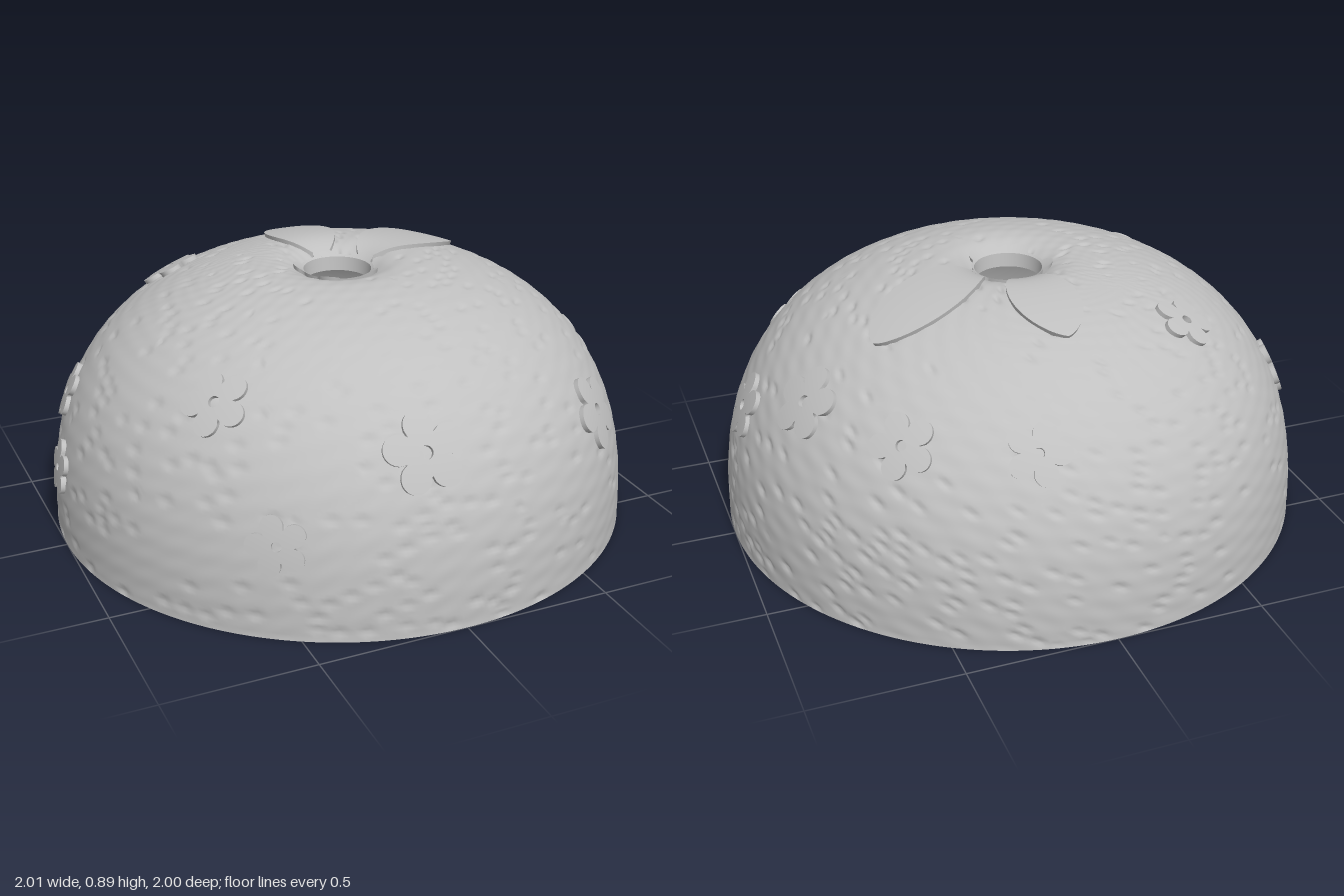
import * as THREE from 'three';

const H = 0.893, P = 2.5, HOLE = 0.128;
const grey = new THREE.MeshStandardMaterial({ color: 0xc0c0c0 });
grey.name = 'plain grey';

// Push a point onto the squarish dome, lifted by h, with a dimple round the top hole
function onDome(p, h = 0) {
  const k = (Math.hypot(p.x, p.z) ** P + (Math.abs(p.y) / H) ** P) ** (-1 / P) * (1 + h);
  const q = p.clone().multiplyScalar(k);
  q.y -= 0.12 * Math.exp(-(q.x * q.x + q.z * q.z) / 0.0169) * (q.y > 0.5 ? 1 : 0);
  return q;
}

// Closed band of quads: rows run outward, columns run round and wrap
function band(name, rows, cols, point) {
  const pos = [], idx = [];
  for (let i = 0; i <= rows; i++)
    for (let j = 0; j < cols; j++) pos.push(...point(i / rows, (j / cols) * Math.PI * 2).toArray());
  for (let i = 0; i < rows; i++)
    for (let j = 0; j < cols; j++) {
      const a = i * cols + j, b = i * cols + (j + 1) % cols;
      idx.push(a, a + cols, b + cols, a, b + cols, b);
    }
  const g = new THREE.BufferGeometry();
  g.setAttribute('position', new THREE.Float32BufferAttribute(pos, 3));
  g.setIndex(idx);
  g.computeVertexNormals();
  const m = new THREE.Mesh(g, grey);
  m.name = name;
  return m;
}

// Raised plate that follows the dome; outline(t) is in the local frame of its centre
function plate(name, centre, up, outline, inner, h, rows, cols) {
  const group = new THREE.Group();
  group.name = name;
  const c = onDome(centre), r = Math.hypot(centre.x, centre.z);
  const base = centre.clone().multiplyScalar((r ** P + (centre.y / H) ** P) ** (-1 / P));
  const rr = Math.hypot(c.x, c.z) || 1;
  const n = new THREE.Vector3(c.x * rr ** (P - 2), base.y ** (P - 1) / H ** P, c.z * rr ** (P - 2)).normalize();
  const b = up.clone().addScaledVector(n, -up.dot(n)).normalize();
  const a = new THREE.Vector3().crossVectors(b, n);
  const at = (s, t, lift) => {
    const [u, v] = outline(t), len = Math.hypot(u, v);
    const f = (inner + (len - inner) * s) / len;
    return onDome(base.clone().addScaledVector(a, u * f).addScaledVector(b, v * f), lift);
  };
  group.add(band(name + 'Face', rows, cols, (s, t) => at(s, t, h)));
  group.add(band(name + 'Edge', 1, cols, (s, t) => at(1, t, s < 0.5 ? h : -0.015)));
  if (inner > 0) group.add(band(name + 'InnerEdge', 1, cols, (s, t) => at(0, t, s < 0.5 ? -0.015 : h)));
  return group;
}

const hash = (i, j) => {
  const v = Math.sin(i * 127.1 + j * 311.7) * 43758.5453;
  return v - Math.floor(v);
};

// Peel texture: faint ripples and scattered short dents in rings round a tilted axis
const axis = new THREE.Vector3(-0.3, 0.92, -0.25).normalize();
const side = new THREE.Vector3(1, 0, 0).addScaledVector(axis, -axis.x).normalize();
const third = new THREE.Vector3().crossVectors(axis, side);
function peel(p) {
  const d = p.clone().normalize();
  const lat = Math.acos(THREE.MathUtils.clamp(d.dot(axis), -1, 1));
  const lon = Math.atan2(d.dot(third), d.dot(side)) + Math.PI;
  const row = lat / 0.034, ri = Math.floor(row);
  const col = lon * Math.max(0.05, Math.sin((ri + 0.5) * 0.034)) / 0.075 + hash(ri, 7);
  const ci = Math.floor(col);
  const ripple = 0.0011 * (Math.sin(lat * 90 + 2 * Math.sin(lon * 5)) * Math.sin(lon * 23 + lat * 11) - 1);
  const patchy = 0.8 + 0.12 * Math.sin(lon * 3 + lat * 4);
  if (hash(ri, ci) < patchy) return ripple;
  return ripple - 0.008 * Math.sin((row - ri) * Math.PI) ** 2 * Math.sin((col - ci) * Math.PI) ** 2;
}

export function createModel() {
  const model = new THREE.Group();
  model.name = 'fruitDome';

  // Hollow shell: textured outside, smooth inside, base rim and hole wall
  const shell = new THREE.Group();
  shell.name = 'shell';
  const ray = (s, t) => {
    const f = HOLE + (Math.PI / 2 - HOLE) * s;
    return new THREE.Vector3(Math.sin(f) * Math.sin(t), s === 1 ? 0 : Math.cos(f), Math.sin(f) * Math.cos(t));
  };
  const inside = -0.036;
  shell.add(
    band('outerPeel', 130, 400, (s, t) => {
      const p = ray(s, t);
      return onDome(p, s === 0 || s === 1 ? 0 : peel(onDome(p)));
    }),
    band('baseRim', 1, 120, (s, t) => onDome(ray(1, t), s * inside)),
    band('innerWall', 28, 120, (s, t) => onDome(ray(1 - s, t), inside)),
    band('holeWall', 1, 120, (s, t) => onDome(ray(0, t), (1 - s) * inside)),
  );
  model.add(shell);

  // Five-petalled blossoms: x, y, z, radius, spin
  const blossoms = [
    [-0.46, 0.78, -0.45, 0.105, 0.2], [0.2, 0.61, -0.82, 0.105, 0.9],
    [0.57, 0.6, -0.62, 0.11, 0.5], [0.78, 0.61, -0.27, 0.125, 0.1],
    [0.92, 0.46, 0.05, 0.115, 0.3], [0.64, 0.47, 0.65, 0.13, 0.25],
    [-0.09, 0.55, 0.85, 0.135, 0.1], [-0.61, 0.65, 0.47, 0.115, 0.6],
    [-0.55, 0.31, 0.8, 0.1, 0.3], [-0.88, 0.44, -0.26, 0.1, 0.4],
    [-0.98, 0.25, -0.09, 0.095, 0.15],
  ];
  const worldUp = new THREE.Vector3(0, 1, 0);
  for (const [x, y, z, r, spin] of blossoms) {
    const petals = (t) => {
      const q = r * (0.52 + 0.48 * Math.abs(Math.sin(2.5 * t)) ** 0.65);
      const w = t + spin - 0.31;
      return [q * Math.cos(w), q * Math.sin(w)];
    };
    model.add(plate('blossom', new THREE.Vector3(x, y, z), worldUp, petals, r * 0.16, 0.014, 5, 80));
  }

  // Two pointed leaves: base and tip in plan, half width
  const leaves = [[0, -0.12, -0.01, -0.53, 0.112], [0.11, -0.04, 0.57, -0.29, 0.125]];
  for (const [x0, z0, x1, z1, w] of leaves) {
    const half = Math.hypot(x1 - x0, z1 - z0) / 2 * 1.02;
    const cx = (x0 + x1) / 2, cz = (z0 + z1) / 2;
    const cy = H * (1 - Math.hypot(cx, cz) ** P) ** (1 / P);
    const blade = (t) => [w * Math.cos(t) * Math.abs(Math.cos(t)) ** 0.4, half * Math.sin(t)];
    model.add(plate('leaf', new THREE.Vector3(cx, cy, cz), new THREE.Vector3(x1 - x0, 0, z1 - z0), blade, 0, 0.014, 12, 72));
  }

  // Small lobed calyx round the hole
  const lobes = (t) => {
    const q = 0.122 + 0.028 * Math.max(0, Math.sin(5 * t)) ** 0.6;
    return [q * Math.cos(t), q * Math.sin(t)];
  };
  model.add(plate('calyx', new THREE.Vector3(0, H, 0), new THREE.Vector3(0, 0, -1), lobes, 0.114, 0.014, 2, 100));

  return model;
}
